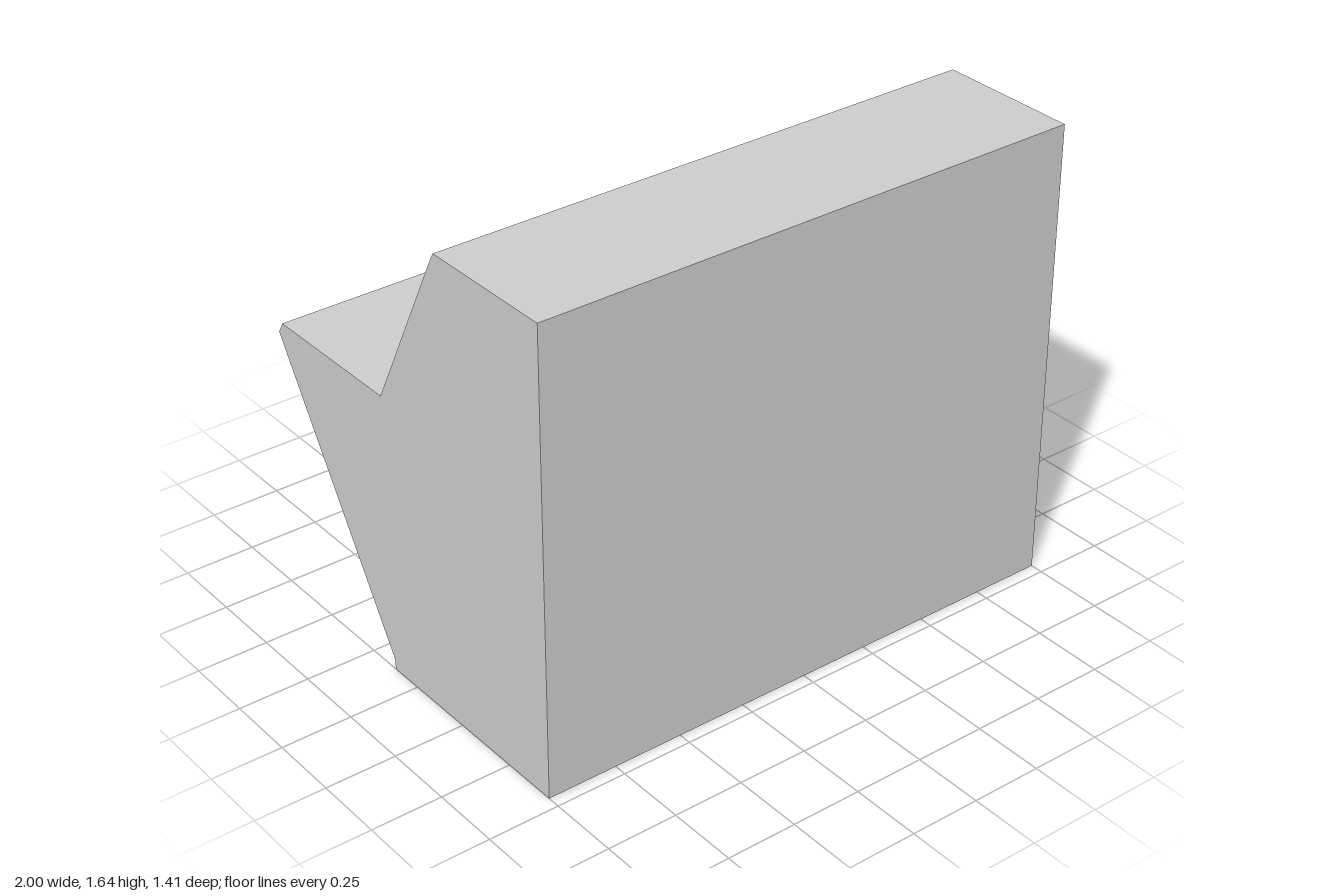
import * as THREE from 'three';

const material = new THREE.MeshStandardMaterial({ color: 0xcccccc });

export function createModel() {
  const group = new THREE.Group();

  // Cabinet: side profile as (z, y), extruded across the full width
  const profile = [
    [0.705, 0], [0.705, 1.64], [0.2, 1.64], [0.188, 1.62], [-0.123, 1.015],
    [-0.682, 1.015], [-0.705, 0.975], [-0.123, 0.035], [-0.123, 0],
  ].map(([z, y]) => new THREE.Vector2(z, y));
  const bodyGeometry = new THREE.ExtrudeGeometry(new THREE.Shape(profile), { depth: 2, bevelEnabled: false });
  bodyGeometry.translate(0, 0, -1).rotateY(-Math.PI / 2);
  const body = new THREE.Mesh(bodyGeometry, material);
  body.name = 'cabinetBody';
  group.add(body);

  // Dials: thin discs with a sharp rim wall and a shallow, smooth dish
  const lathe = (points) =>
    new THREE.LatheGeometry(points.map(([r, y]) => new THREE.Vector2(r, y)), 64);
  const dialParts = {
    dialBack: lathe([[0, 0], [0.27, 0]]),
    dialRim: lathe([[0.27, 0], [0.27, 0.018]]),
    dialFace: lathe([[0.27, 0.018], [0.255, 0.018], [0.235, 0.015], [0.215, 0.011], [0.195, 0.009], [0, 0.009]]),
  };
  for (const [name, x] of [['rightDial', -0.57], ['leftDial', 0.52]]) {
    const dial = new THREE.Group();
    dial.name = name;
    for (const [partName, geometry] of Object.entries(dialParts)) {
      const part = new THREE.Mesh(geometry, material);
      part.name = partName;
      dial.add(part);
    }
    // Lean the dial with the sloped panel
    dial.position.set(x, 1.315, 0.029);
    dial.rotation.x = -1.12;
    group.add(dial);
  }
  return group;
}
